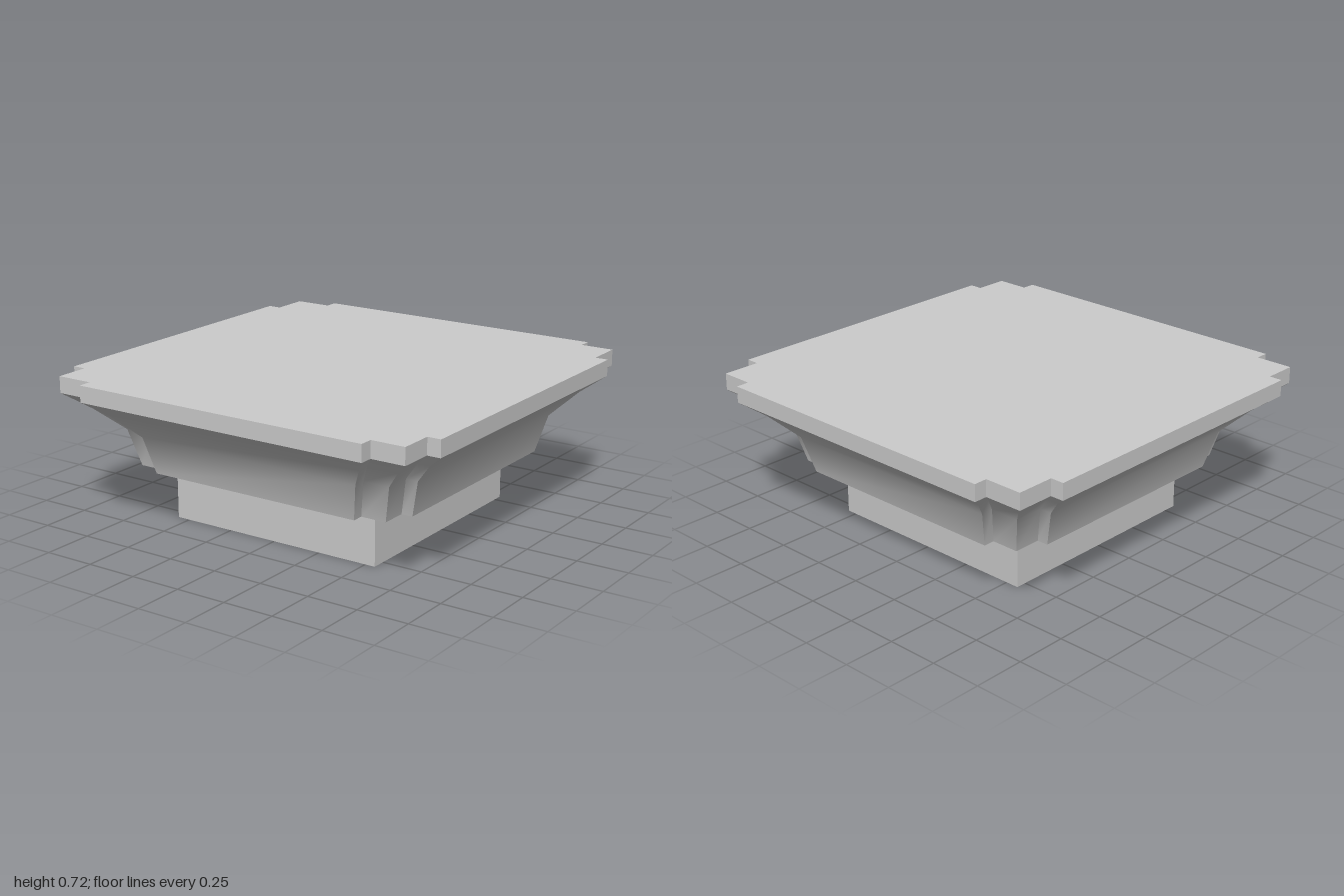
import * as THREE from 'three';
import { toCreasedNormals } from 'three/addons/utils/BufferGeometryUtils.js';

// Square plan with a stepped notch at each corner, as [x, z], counterclockwise from above.
// o: outer half width, n: corner block half width, lo / hi: ends of each long side
function outline([, o, n, lo, hi]) {
  return [
    [-lo, o], [hi, o], [hi, n], [n, n], [n, hi],
    [o, hi], [o, -lo], [n, -lo], [n, -n], [hi, -n],
    [hi, -o], [-lo, -o], [-lo, -n], [-n, -n], [-n, -lo],
    [-o, -lo], [-o, hi], [-n, hi], [-n, n], [-lo, n],
  ];
}

// Flaring sections: [y, o, n, lo, hi]
const sections = [
  [0.27, 0.735, 0.68, 0.545, 0.555],
  [0.45, 0.785, 0.725, 0.58, 0.595],
  [0.565, 0.9, 0.84, 0.67, 0.69],
  [0.64, 1, 0.935, 0.75, 0.77],
];

// Skin the sections into an open cove
function loft(rows) {
  const positions = [];
  const rings = rows.map((row) => outline(row).map(([x, z]) => [x, row[0], z]));
  for (let r = 0; r < rings.length - 1; r++) {
    const low = rings[r], high = rings[r + 1];
    for (let i = 0; i < low.length; i++) {
      const j = (i + 1) % low.length;
      positions.push(...low[i], ...low[j], ...high[j], ...low[i], ...high[j], ...high[i]);
    }
  }
  const geometry = new THREE.BufferGeometry();
  geometry.setAttribute('position', new THREE.Float32BufferAttribute(positions, 3));
  return toCreasedNormals(geometry, 0.75);
}

export function createModel() {
  const group = new THREE.Group();
  const material = new THREE.MeshStandardMaterial({ color: 0xcccccc });
  const add = (name, geometry) => {
    const mesh = new THREE.Mesh(geometry, material);
    mesh.name = name;
    group.add(mesh);
    return mesh;
  };

  // Square block the capital stands on
  add('baseBlock', new THREE.BoxGeometry(1.115, 0.27, 1.115)).position.set(-0.0075, 0.135, 0.0075);

  // Flared cove and its flat underside
  add('cove', loft(sections));
  const bottom = sections[0];
  const under = new THREE.Shape(outline(bottom).map(([x, z]) => new THREE.Vector2(x, z)));
  add('coveUnderside', new THREE.ShapeGeometry(under).rotateX(Math.PI / 2)).position.y = bottom[0];

  // Notched slab on top
  const rim = sections[sections.length - 1];
  const plan = new THREE.Shape(outline(rim).map(([x, z]) => new THREE.Vector2(x, -z)));
  const slab = new THREE.ExtrudeGeometry(plan, { depth: 0.08, bevelEnabled: false });
  add('topSlab', slab.rotateX(-Math.PI / 2)).position.y = rim[0];

  return group;
}
